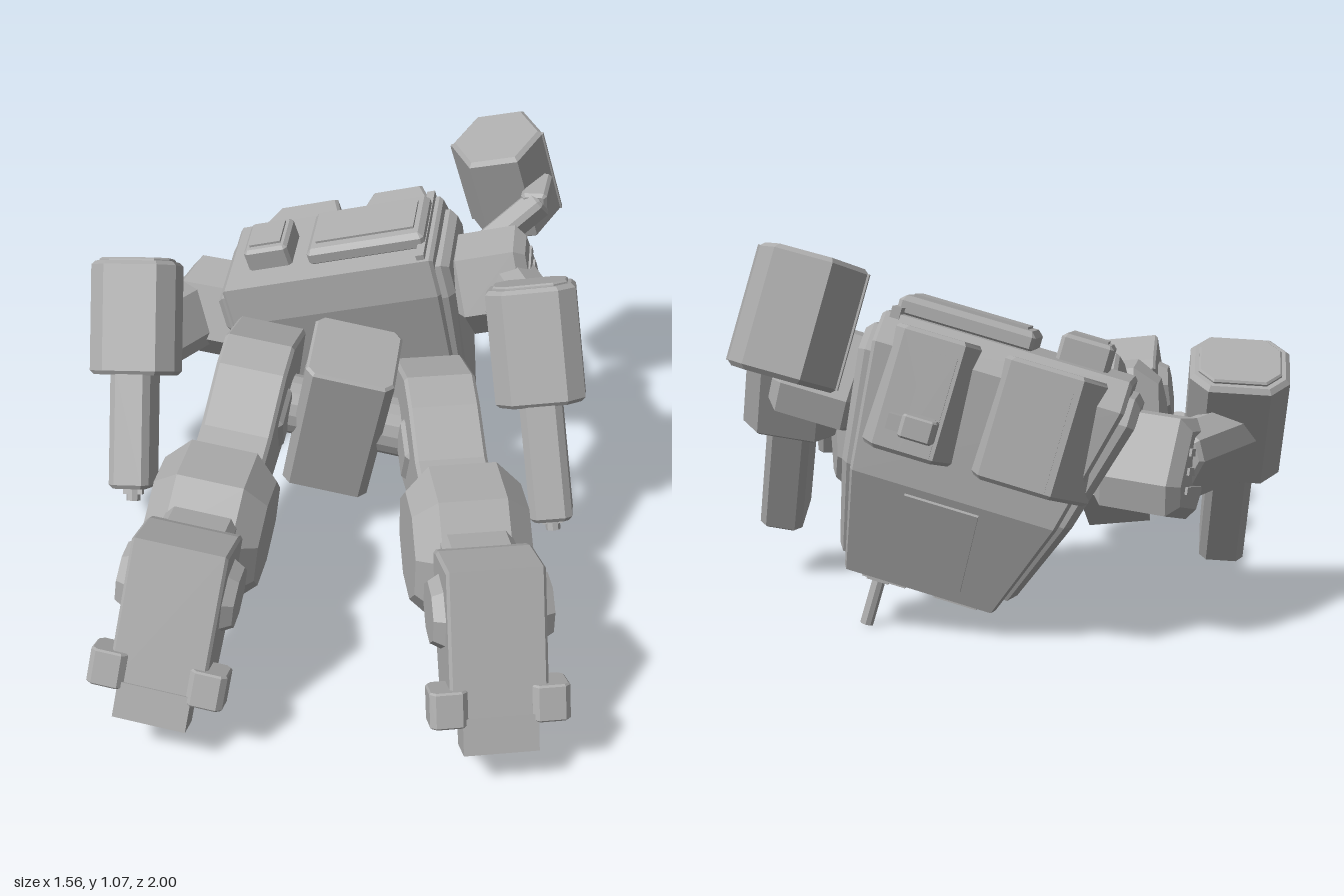
import * as THREE from 'three';

export function createModel() {
  const model = new THREE.Group();
  model.name = 'walkingMachine';
  const grey = new THREE.MeshStandardMaterial({ color: 0xacacac, flatShading: true });
  grey.name = 'armourGrey';

  function add(parent, name, geometry, p = [0, 0, 0], r = [0, 0, 0]) {
    const mesh = new THREE.Mesh(geometry, grey);
    mesh.name = name;
    mesh.position.set(...p);
    mesh.rotation.set(...r);
    parent.add(mesh);
    return mesh;
  }
  function group(parent, name, p, r) {
    const g = new THREE.Group();
    g.name = name;
    g.position.set(...p);
    g.rotation.set(...r);
    parent.add(g);
    return g;
  }
  const box = (w, h, d) => new THREE.BoxGeometry(w, h, d);

  // Outline extruded with bevelled ends, centred on the extrusion axis
  function extrude(points, depth, bevel) {
    const shape = new THREE.Shape(points.map(([x, y]) => new THREE.Vector2(x, y)));
    const g = new THREE.ExtrudeGeometry(shape, {
      depth: depth - 2 * bevel, bevelEnabled: bevel > 0,
      bevelSize: bevel, bevelOffset: -bevel, bevelThickness: bevel, bevelSegments: 1,
    });
    return g.translate(0, 0, -(depth - 2 * bevel) / 2);
  }
  // Side outline given as (z, y), extruded across x
  const side = (points, width, bevel = 0.015) => extrude(points, width, bevel).rotateY(-Math.PI / 2);
  // Plan outline given as (x, -z), extruded along y
  const plan = (points, height, bevel = 0.01) => extrude(points, height, bevel).rotateX(-Math.PI / 2);
  // Upright block with cut corners
  function prism(w, h, d, cut, bevel = 0.015) {
    const a = w / 2, b = d / 2;
    return plan([[a, b - cut], [a - cut, b], [cut - a, b], [-a, b - cut],
      [-a, cut - b], [cut - a, -b], [a - cut, -b], [a, cut - b]], h, bevel);
  }
  // Narrows the hull towards the nose and carries the nose to one side
  function noseTaper(g) {
    const p = g.attributes.position;
    for (let i = 0; i < p.count; i++) {
      const t = THREE.MathUtils.clamp((-0.2 - p.getY(i)) / 0.5, 0, 1);
      p.setX(i, p.getX(i) * (1 - 0.38 * t) + 0.06 * t);
    }
    g.computeVertexNormals();
    return g;
  }
  // Block running between two points
  function beam(parent, name, from, to, w, d, cut = 0.02) {
    const a = new THREE.Vector3(...from), b = new THREE.Vector3(...to);
    const dir = b.clone().sub(a);
    const m = add(parent, name, prism(w, dir.length(), d, cut, 0.01));
    m.position.copy(a).add(b).multiplyScalar(0.5);
    m.quaternion.setFromUnitVectors(new THREE.Vector3(0, 1, 0), dir.normalize());
  }
  // Eight-sided disc across x with sloping rims
  function disc(radius, rim, flat, width) {
    const pts = [[0, -width / 2], [rim, -width / 2], [radius, -flat / 2],
      [radius, flat / 2], [rim, width / 2], [0, width / 2]];
    return new THREE.LatheGeometry(pts.map(([x, y]) => new THREE.Vector2(x, y)), 8, Math.PI / 8)
      .rotateZ(Math.PI / 2);
  }

  // Torso: leaning hull whose nose points downwards
  const torso = group(model, 'torso', [-0.045, 0.773, -0.54], [0.12, 0, 0.27]);
  const hull = [[0.18, 0], [-0.16, 0], [-0.2, -0.08], [-0.17, -0.42], [-0.03, -0.7], [0.15, -0.7], [0.2, -0.12]];
  add(torso, 'hull', noseTaper(side(hull, 0.67, 0.01)));
  const inner = hull.map(([z, y]) => [z * 0.88, y * 0.88 - 0.04]);
  add(torso, 'sidePlates', noseTaper(side(inner, 0.74, 0.02)));
  add(torso, 'backPanel', prism(0.37, 0.06, 0.22, 0.01, 0.015), [0.125, 0.02, 0]);
  add(torso, 'backPanelTop', box(0.31, 0.01, 0.14), [0.125, 0.052, 0]);
  add(torso, 'backHatch', prism(0.14, 0.1, 0.16, 0.01, 0.01), [-0.19, 0.02, 0.01]);
  add(torso, 'hatchCover', box(0.1, 0.01, 0.11), [-0.19, 0.072, 0.01]);
  add(torso, 'backRib', box(0.025, 0.03, 0.34), [0.3, 0.002, 0]);

  // Wedge-shaped blocks on the upper end of the hull, each with a raised panel
  const blocks = [[-0.31, -0.22, -0.03, 0.01], [0.04, 0.09, 0.25, 0.31]];
  for (const [a, b, c, d] of blocks) {
    add(torso, 'shoulderBlock', plan([[d, 0.13], [c, 0.28], [b, 0.28], [a, 0.13]], 0.32), [0, -0.19, 0], [0.06, 0, 0]);
    add(torso, 'blockPanel', box((c - b) * 0.5, 0.26, 0.02), [(b + c) / 2 - 0.03, -0.19, -0.275], [0.06, 0, 0]);
  }
  add(torso, 'sensorBase', box(0.06, 0.06, 0.06), [0.14, -0.25, -0.31]);
  add(torso, 'sensorHead', prism(0.09, 0.06, 0.06, 0.01, 0.005), [0.14, -0.25, -0.335]);
  add(torso, 'sensorEye', box(0.04, 0.04, 0.04), [0.2, -0.25, -0.33]);

  // Nose details
  add(torso, 'canopy', box(0.2, 0.25, 0.03), [0.05, -0.55, -0.1], [-0.46, 0, 0]);
  for (const x of [-0.1, 0.1]) {
    add(torso, 'nosePort', box(0.12, 0.03, 0.12), [x + 0.06, -0.695, 0.06]);
  }
  add(torso, 'noseGun', new THREE.CylinderGeometry(0.018, 0.018, 0.16, 8), [0.18, -0.765, 0.06]);
  add(torso, 'noseGunMount', box(0.06, 0.04, 0.06), [0.18, -0.7, 0.06]);

  // Pelvis and joints
  const pelvis = group(model, 'pelvis', [0.035, 0.405, -0.17], [0.22, 0, -0.19]);
  add(pelvis, 'pelvisBlock', prism(0.265, 0.5, 0.25, 0.025, 0.008));
  add(pelvis, 'hipAxle', new THREE.CylinderGeometry(0.09, 0.09, 0.46, 16).rotateZ(Math.PI / 2), [0.02, 0, 0.02]);
  add(model, 'waist', new THREE.CylinderGeometry(0.1, 0.1, 0.24, 16), [0.01, 0.48, -0.32], [Math.PI / 2, 0, 0]);

  // Legs: origin at knee height, running towards +z; lift raises the hip end
  function leg(name, p, r, lift) {
    const g = group(model, name, p, r);
    const thigh = [[-0.3, 0.2 + lift], [-0.1, 0.26 + lift], [0, 0.22 + lift], [0.14, 0.1 + lift / 2], [0.26, 0.05],
      [0.26, -0.13], [0.1, -0.14], [-0.1, -0.1 + lift], [-0.28, 0.02 + lift]];
    add(g, 'thigh', side(thigh, 0.21, 0.01));
    add(g, 'thighPlate', prism(0.235, 0.16, 0.15, 0.02, 0.015), [0, 0.04 + lift, -0.05], [0.5, 0, 0]);
    add(g, 'knee', disc(0.222, 0.155, 0.19, 0.325), [0, -0.04, 0.385]);
    add(g, 'calfBlock', box(0.19, 0.22, 0.2), [0, -0.165, 0.285], [0.7, 0, 0]);
    beam(g, 'shin', [0, -0.02, 0.45], [0, 0.02, 0.72], 0.2, 0.22);
    add(g, 'ankle', disc(0.12, 0.085, 0.2, 0.32), [0, 0.01, 0.735]);
    const foot = [[0.8, 0.19], [0.64, 0.135], [0.6, 0.11], [0.66, -0.06], [0.76, -0.21], [0.9, -0.23], [0.96, -0.19]];
    add(g, 'foot', side(foot, 0.26, 0.008));
    add(g, 'toe', box(0.2, 0.1, 0.09), [0, -0.235, 0.935], [-0.38, 0, 0]);
    for (const s of [-1, 1]) {
      add(g, 'footSpur', prism(0.1, 0.1, 0.1, 0.015, 0.005), [s * 0.135, -0.16, 0.91], [-0.38, 0, 0]);
    }
  }
  leg('rightLeg', [-0.235, 0.4, 0], [0, -0.05, -0.12], 0.015);
  leg('leftLeg', [0.36, 0.4, 0], [0, 0.26, 0], -0.06);

  // Forearms: armoured pod with a long gun below it
  function forearm(name, p, r) {
    const g = group(model, name, p, r);
    add(g, 'forearmPod', prism(0.265, 0.35, 0.22, 0.05, 0.012), [0, -0.175, 0]);
    add(g, 'podCap', prism(0.22, 0.02, 0.175, 0.04, 0.005), [0, 0, 0]);
    add(g, 'gunBody', prism(0.125, 0.38, 0.18, 0.02, 0.012), [0, -0.51, 0.01]);
    add(g, 'muzzle', new THREE.CylinderGeometry(0.022, 0.022, 0.05, 8), [0, -0.715, 0.01]);
    add(g, 'muzzleBar', box(0.06, 0.02, 0.03), [0, -0.71, 0.01]);
  }
  forearm('rightForearm', [-0.64, 0.715, -0.43], [-0.56, 0, 0.06]);
  forearm('leftForearm', [0.575, 0.805, -0.31], [-0.4, 0, 0.17]);

  // Shoulders: angular shell with louvres on the outer face (s is the outer side)
  function shoulder(name, p, r, s) {
    const g = group(model, name, p, r);
    const shell = [[0.14, -0.03], [0.07, 0.13], [-0.07, 0.14], [-0.13, -0.03], [-0.11, -0.11], [0.07, -0.14]];
    add(g, 'shoulderShell', side(shell, 0.24, 0.03));
    for (const y of [-0.05, 0.0, 0.05]) {
      add(g, 'louvre', box(0.03, 0.02, 0.12), [s * 0.112, y, 0], [0.1, 0, 0]);
    }
  }
  shoulder('rightShoulder', [-0.41, 0.47, -0.6], [0.1, -0.3, 0.1], -1);
  shoulder('leftShoulder', [0.46, 0.68, -0.54], [0.05, 0, 0.27], 1);
  beam(model, 'rightUpperArm', [-0.46, 0.47, -0.62], [-0.61, 0.48, -0.36], 0.15, 0.22, 0.04);
  beam(model, 'leftUpperArm', [0.5, 0.67, -0.52], [0.59, 0.68, -0.3], 0.16, 0.2, 0.04);

  // Shoulder launcher carried on a bent strut
  const pod = group(model, 'launcher', [0.465, 0.88, -0.85], [0.22, 0, 0.25]);
  const hexagon = [[0.145, 0], [0.075, 0.125], [-0.075, 0.125], [-0.145, 0], [-0.075, -0.125], [0.075, -0.125]];
  add(pod, 'launcherBody', plan(hexagon, 0.32, 0.012));
  add(pod, 'launcherSeam', box(0.294, 0.3, 0.012));
  beam(model, 'launcherArm', [0.57, 0.88, -0.82], [0.56, 0.87, -0.68], 0.08, 0.08, 0.01);
  beam(model, 'launcherStrut', [0.58, 0.88, -0.7], [0.42, 0.74, -0.64], 0.08, 0.08, 0.015);

  return model;
}
